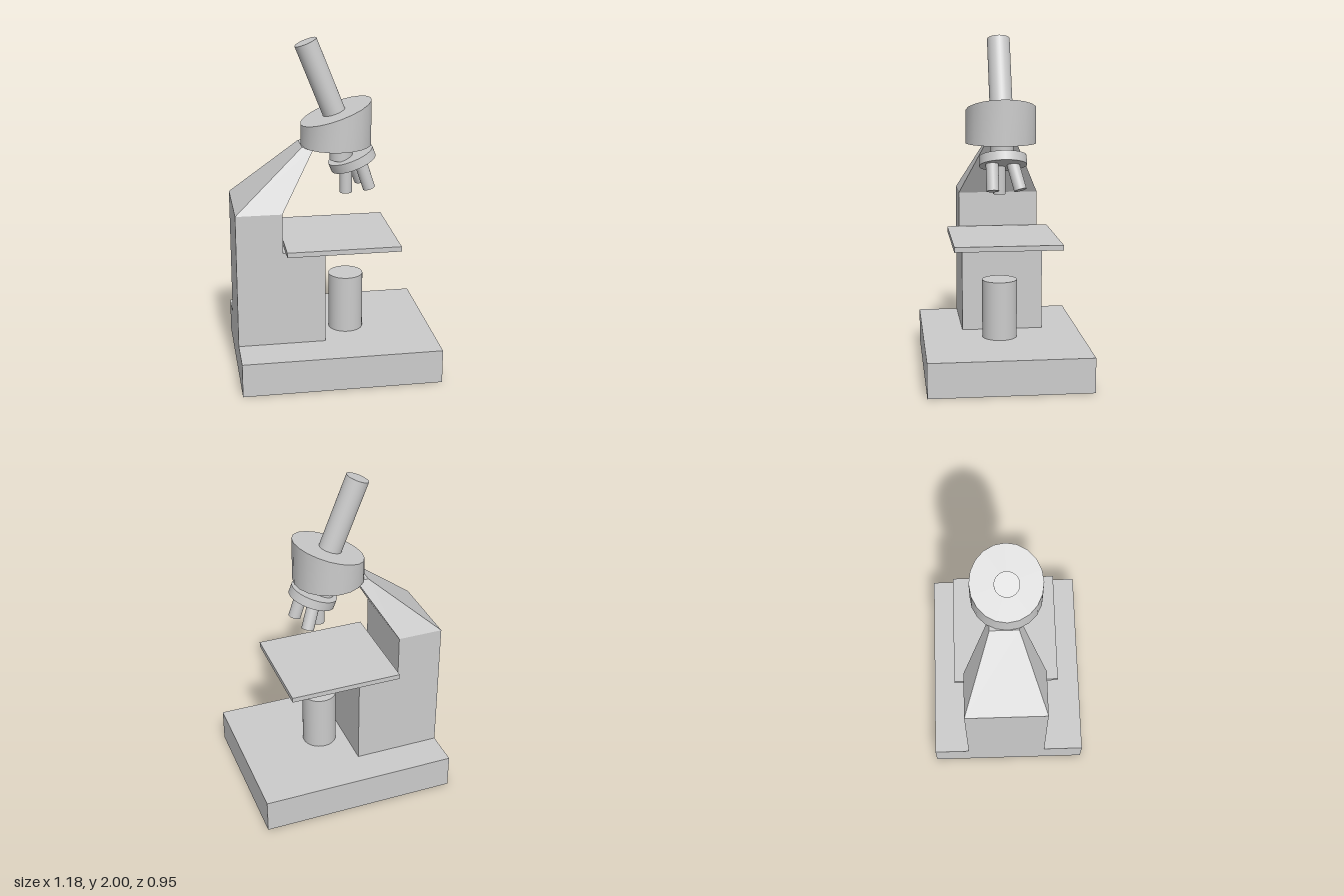
import * as THREE from 'three';
import { toCreasedNormals } from 'three/addons/utils/BufferGeometryUtils.js';

const material = new THREE.MeshStandardMaterial({ color: 0xcccccc });

export function createModel() {
  const model = new THREE.Group();

  function add(name, geometry) {
    const mesh = new THREE.Mesh(geometry, material);
    mesh.name = name;
    model.add(mesh);
    return mesh;
  }

  // Box given by its lower and upper corners
  function box(name, [x0, y0, z0], [x1, y1, z1]) {
    const g = new THREE.BoxGeometry(x1 - x0, y1 - y0, z1 - z0);
    g.translate((x0 + x1) / 2, (y0 + y1) / 2, (z0 + z1) / 2);
    return add(name, g);
  }

  // Cylinder running between two points
  function rod(name, from, to, radius, sides = 32) {
    const a = new THREE.Vector3(...from);
    const b = new THREE.Vector3(...to);
    const mesh = add(name, new THREE.CylinderGeometry(radius, radius, a.distanceTo(b), sides));
    mesh.position.copy(a).add(b).multiplyScalar(0.5);
    mesh.quaternion.setFromUnitVectors(new THREE.Vector3(0, 1, 0), b.sub(a).normalize());
    return mesh;
  }

  // Base, pillar and stage
  box('base', [-0.594, 0, -0.475], [0.59, 0.205, 0.475]);
  box('pillar', [-0.594, 0.205, -0.26], [-0.073, 0.78, 0.23]);
  box('column', [-0.594, 0.78, -0.26], [-0.322, 1.02, 0.23]);
  box('stage', [-0.305, 0.78, -0.322], [0.367, 0.81, 0.305]);

  // Upper arm: a box whose top is shifted forward and narrowed
  const arm = new THREE.BoxGeometry(1, 1, 1);
  const p = arm.attributes.position;
  for (let i = 0; i < p.count; i++) {
    const top = p.getY(i) > 0, right = p.getX(i) > 0, front = p.getZ(i) > 0;
    const x = top ? (right ? -0.11 : -0.185) : (right ? -0.322 : -0.594);
    const z = top ? (front ? 0.07 : -0.1) : (front ? 0.23 : -0.26);
    p.setXYZ(i, x, top ? 1.37 : 1.02, z);
  }
  arm.computeVertexNormals();
  add('upperArm', arm);

  // Lamp below the stage
  rod('lamp', [0.083, 0.205, 0.018], [0.083, 0.555, 0.018], 0.104);

  // Head: cylinder cut off by a sloping plane
  const head = new THREE.CylinderGeometry(0.209, 0.209, 1, 20);
  head.translate(0.025, 0, 0.003);
  const h = head.attributes.position;
  for (let i = 0; i < h.count; i++) {
    h.setY(i, h.getY(i) > 0 ? 1.555 + (h.getX(i) - 0.005) * 0.345 : 1.365);
  }
  add('head', toCreasedNormals(head, 0.6));

  // Eyepiece tube and revolving nosepiece
  rod('eyepieceTube', [0.035, 1.505, 0], [-0.15, 1.971, 0], 0.068);
  rod('nosepieceStem', [0.057, 1.37, 0], [0.057, 1.27, 0], 0.068);
  rod('nosepiece', [0.132, 1.244, 0.002], [0.112, 1.296, 0.002], 0.14);

  // Three objectives
  const objectives = [
    [[0.083, 1.27, 0.018], [0.083, 1.07, 0.018]],
    [[0.163, 1.26, 0.07], [0.214, 1.105, 0.07]],
    [[0.135, 1.255, -0.055], [0.19, 1.106, -0.093]],
  ];
  objectives.forEach(([from, to], i) => rod('objective' + (i + 1), from, to, 0.037, 24));

  return model;
}
